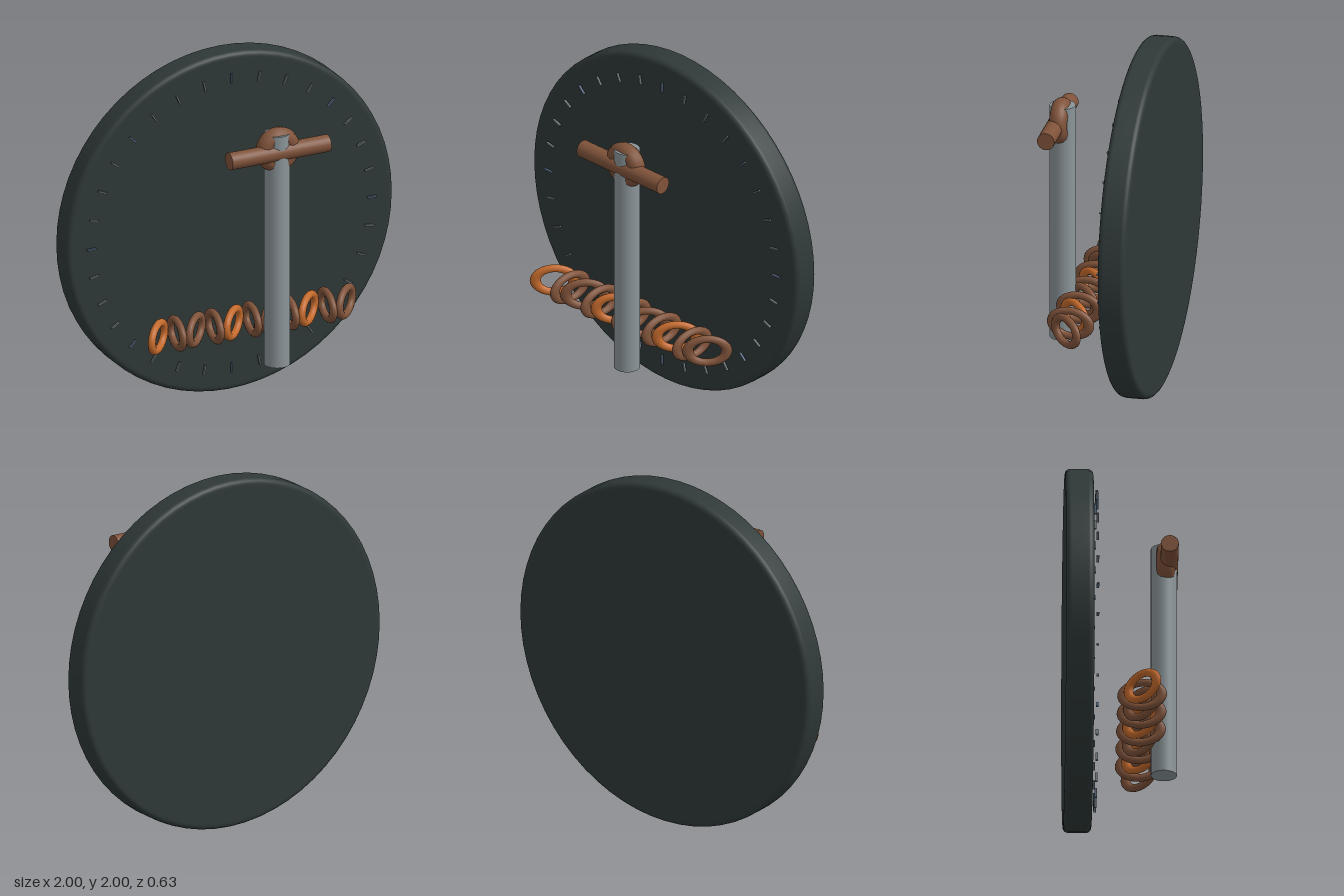
import * as THREE from 'three';

const material = (name, color) => {
  const m = new THREE.MeshStandardMaterial({ color });
  m.name = name;
  return m;
};

export function createModel() {
  const slate = material('dark slate', 0x2f3938);
  const steel = material('steel grey', 0x8b9599);
  const brown = material('brown', 0x80533a);
  const copper = material('copper orange', 0xc46a2c);
  const tickGrey = material('tick grey', 0x6a757a);
  const tickBlue = material('tick blue', 0x566a82);

  const model = new THREE.Group();
  const add = (name, geometry, mat, x, y, z) => {
    const mesh = new THREE.Mesh(geometry, mat);
    mesh.name = name;
    mesh.position.set(x, y, z);
    model.add(mesh);
    return mesh;
  };

  // Round backing disc with softened rims
  const half = 0.078, bevel = 0.03;
  const profile = [new THREE.Vector2(0, -half), new THREE.Vector2(0.96, -half)];
  for (const side of [-1, 1]) {
    for (let i = 0; i <= 5; i++) {
      const a = (side < 0 ? i - 5 : i) / 5 * Math.PI / 2;
      profile.push(new THREE.Vector2(
        1 - bevel + bevel * Math.cos(a),
        side * (half - bevel) + bevel * Math.sin(a)));
    }
  }
  profile.push(new THREE.Vector2(0.96, half), new THREE.Vector2(0, half));
  add('disc', new THREE.LatheGeometry(profile, 64), slate, 0, 1, -0.238)
    .rotation.x = Math.PI / 2;

  // Ring of tick marks floating just in front of the disc
  const tickGeometry = new THREE.BoxGeometry(0.056, 0.009, 0.014);
  for (let i = 0; i < 32; i++) {
    const a = i * Math.PI / 16;
    add('tick', tickGeometry, i % 4 ? tickGrey : tickBlue,
      0.858 * Math.cos(a), 1 + 0.858 * Math.sin(a), -0.14).rotation.z = a;
  }

  // Upright shaft, crossbar and the ring round their joint
  add('shaft', new THREE.CylinderGeometry(0.072, 0.072, 1.37, 32), steel, 0.09, 0.975, 0.235);
  add('crossbar', new THREE.CylinderGeometry(0.049, 0.049, 0.605, 24), brown, 0.085, 1.555, 0.264)
    .rotation.z = Math.PI / 2;
  add('jointRing', new THREE.TorusGeometry(0.079, 0.051, 12, 40), brown, 0.09, 1.565, 0.244);

  // Chain of oval links, alternately turned
  const linkGeometry = new THREE.TorusGeometry(0.074, 0.021, 12, 36);
  linkGeometry.scale(1.45, 1, 1);
  for (let i = 0; i < 11; i++) {
    add('chainLink', linkGeometry, i % 4 ? brown : copper, (i - 5) * 0.115, 0.522, 0.108)
      .rotation.y = i % 2 ? 1.44 : Math.PI / 4;
  }

  return model;
}
